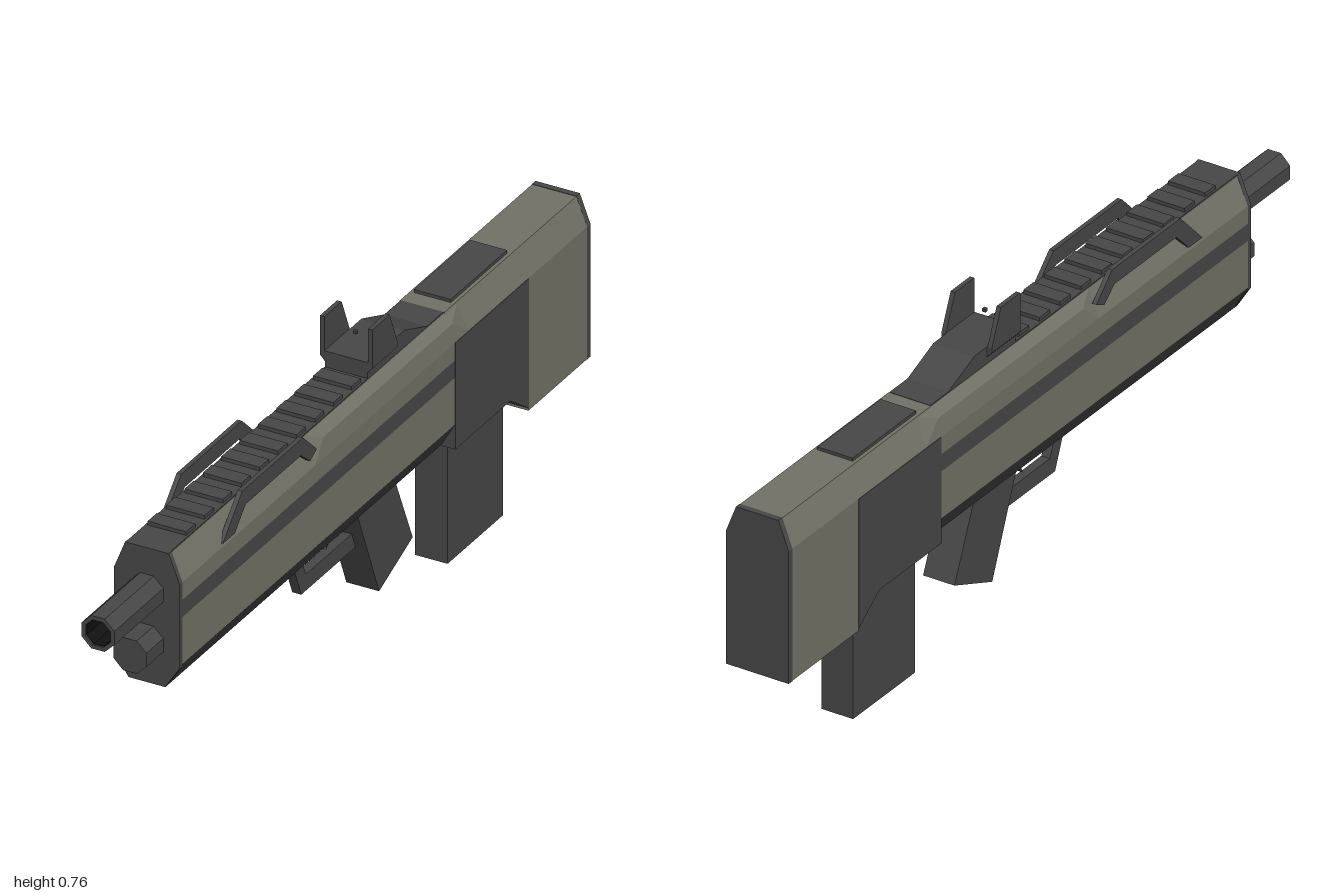
import * as THREE from 'three';
import { ConvexGeometry } from 'three/addons/geometries/ConvexGeometry.js';

export function createModel() {
  const root = new THREE.Group();
  const olive = new THREE.MeshStandardMaterial({ color: 0x727267, name: 'olive' });
  const dark = new THREE.MeshStandardMaterial({ color: 0x474747, name: 'darkGrey' });
  const black = new THREE.MeshStandardMaterial({ color: 0x111111, name: 'black' });

  // Every part is faceted
  function add(name, geometry, material) {
    const g = geometry.index ? geometry.toNonIndexed() : geometry;
    g.computeVertexNormals();
    const mesh = new THREE.Mesh(g, material);
    mesh.name = name;
    root.add(mesh);
    return mesh;
  }
  const shapeOf = (pts) => new THREE.Shape(pts.map(([x, y]) => new THREE.Vector2(x, y)));

  // Side profile of [z, y] points, extruded across x
  function plate(name, pts, x0, x1, material) {
    const g = new THREE.ExtrudeGeometry(shapeOf(pts), { depth: x1 - x0, bevelEnabled: false });
    g.rotateY(-Math.PI / 2).translate(x1, 0, 0);
    return add(name, g, material);
  }
  // Half cross-section of [x, y] points, mirrored and extruded along z
  function section(name, half, z0, z1, material) {
    const pts = [...half, ...half.map(([x, y]) => [-x, y]).reverse()];
    const g = new THREE.ExtrudeGeometry(shapeOf(pts), { depth: z1 - z0, bevelEnabled: false });
    return add(name, g.translate(0, 0, z0), material);
  }
  function box(name, x, y, z, w, h, d, material) {
    return add(name, new THREE.BoxGeometry(w, h, d).translate(x, y, z), material);
  }

  // Front housing, stacked in bands so each colour is its own part
  const [z0, z1] = [-0.41, 0.775];
  section('lowerHousing', [[0.045, 0.31], [0.08, 0.37]], z0, z1, dark);
  section('lowerSidePanels', [[0.08, 0.37], [0.08, 0.485]], z0, z1, olive);
  section('sideStripe', [[0.08, 0.485], [0.08, 0.527]], z0, z1, dark);
  section('upperSidePanels', [[0.08, 0.527], [0.08, 0.57], [0.053, 0.636]], z0, z1, olive);
  box('topStrip', 0, 0.635, (z0 + z1) / 2, 0.104, 0.006, z1 - z0, dark);
  section('frontCap', [[0.045, 0.31], [0.08, 0.365], [0.08, 0.57], [0.053, 0.638]], z1, 0.787, dark);

  // Raised shoulder panels and carrying rails on both sides
  for (const s of [-1, 1]) {
    const pts = [0.2, -0.47].flatMap((z) => [[0.08, 0.57, z], [0.053, 0.636, z]]);
    pts.push([0.073, 0.614, 0.15], [0.073, 0.614, -0.41]);
    add('shoulderPanel', new ConvexGeometry(pts.map(([x, y, z]) => new THREE.Vector3(s * x, y, z))), olive);
    plate('sideRail', [[0.6, 0.577], [0.515, 0.664], [0.25, 0.664], [0.19, 0.607],
      [0.22, 0.592], [0.26, 0.625], [0.5, 0.625], [0.547, 0.577]],
    s > 0 ? 0.069 : -0.08, s > 0 ? 0.08 : -0.069, dark);
  }

  // Receiver and stock
  plate('receiver', [[-0.41, 0.57], [-0.73, 0.57], [-0.73, 0.253], [-0.65, 0.31], [-0.41, 0.31]], -0.081, 0.081, dark);
  section('stock', [[0.08, 0.247], [0.08, 0.57]], -0.985, -0.73, olive);
  section('stockTop', [[0.08, 0.57], [0.054, 0.637]], -0.985, -0.41, olive);
  section('buttPlate', [[0.08, 0.246], [0.08, 0.57], [0.054, 0.638]], -1, -0.985, dark);
  box('topCover', 0, 0.64, -0.577, 0.09, 0.009, 0.245, dark);

  // Top rail ribs
  for (let i = 0; i < 10; i++) {
    box('railRib', 0, 0.64, 0.68 - i * 0.08, 0.094, 0.014, 0.04, dark);
  }

  // Sight: ramp, flared base, two posts and a floating dot
  plate('sightRamp', [[-0.08, 0.636], [-0.08, 0.677], [-0.24, 0.677], [-0.345, 0.636]], -0.052, 0.052, dark);
  section('sightBase', [[0.052, 0.652], [0.064, 0.665], [0.064, 0.677]], -0.19, -0.08, dark);
  for (const x of [-0.064, 0.053]) {
    plate('sightPost', [[-0.08, 0.67], [-0.08, 0.76], [-0.155, 0.76], [-0.19, 0.677], [-0.19, 0.67]], x, x + 0.011, dark);
  }
  box('sightDot', 0, 0.718, -0.12, 0.008, 0.008, 0.008, dark);

  // Octagonal barrel with a bore, and the shorter tube below it
  const R = 0.04 / Math.cos(Math.PI / 8);
  const octagon = (r) => Array.from({ length: 8 }, (_, i) => {
    const a = (i + 0.5) * Math.PI / 4;
    return [r * Math.cos(a), r * Math.sin(a)];
  });
  const tube = (r, depth, hole) => {
    const shape = shapeOf(octagon(r));
    if (hole) shape.holes.push(shapeOf(octagon(hole)));
    return new THREE.ExtrudeGeometry(shape, { depth, bevelEnabled: false });
  };
  add('barrel', tube(R, 0.215, 0.033).translate(0, 0.533, 0.785), dark);
  add('boreLining', tube(0.0335, 0.211, 0.0315).translate(0, 0.533, 0.785), black);
  add('boreEnd', tube(0.033, 0.005).translate(0, 0.533, 0.785), black);
  add('lowerTube', tube(R, 0.078).translate(0, 0.411, 0.783), dark);

  // Grip, trigger, guard and magazine
  plate('grip', [[-0.05, 0.33], [-0.215, 0.33], [-0.298, 0.14], [-0.152, 0.08]], -0.04, 0.04, dark);
  plate('triggerGuard', [[0.18, 0.315], [0.135, 0.205], [-0.11, 0.205], [-0.09, 0.245],
    [0.115, 0.245], [0.145, 0.315]], -0.011, 0.011, dark);
  plate('trigger', [[-0.008, 0.315], [0.018, 0.256], [0.01, 0.262], [-0.018, 0.315]], -0.006, 0.006, dark);
  box('magazine', 0, 0.157, -0.57, 0.08, 0.314, 0.24, dark);

  return root;
}
